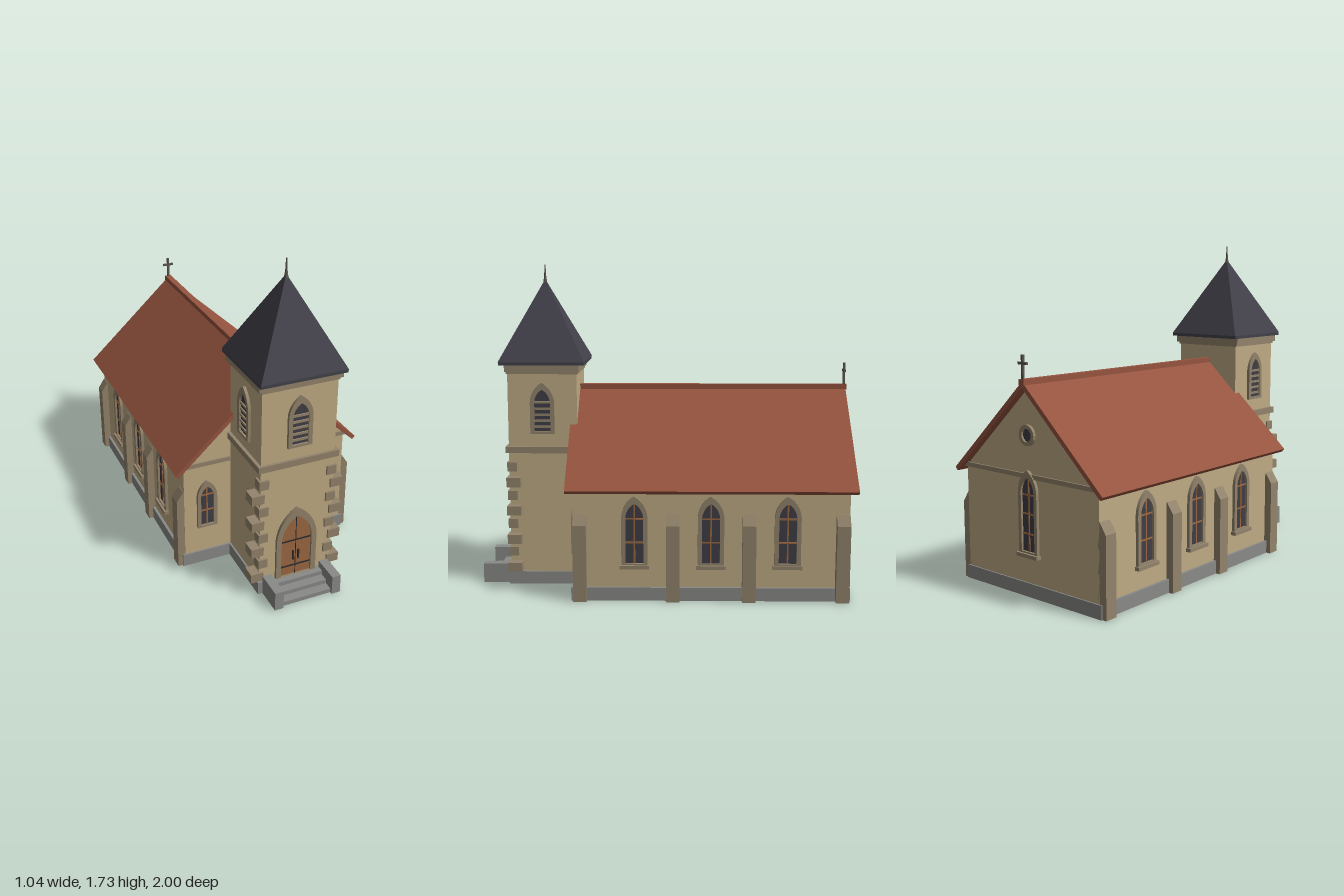
import * as THREE from 'three';

const mat = (name, color, extra = {}) => Object.assign(new THREE.MeshStandardMaterial({ color, ...extra }), { name });
const M = {
  wall: mat('wall plaster', 0xc0ac84),
  stone: mat('trim stone', 0x93846c),
  plinth: mat('grey stone', 0x8a8b88),
  roof: mat('roof tile', 0x96543f),
  slate: mat('spire slate', 0x42414a, { flatShading: true }),
  glass: mat('dark glass', 0x3f3e46),
  wood: mat('wood', 0x9c6840),
  iron: mat('iron', 0x2e2d30),
  metal: mat('cross metal', 0x5c564e),
};

function add(parent, name, geometry, material, x = 0, y = 0, z = 0) {
  const m = new THREE.Mesh(geometry, material);
  m.name = name;
  m.position.set(x, y, z);
  parent.add(m);
  return m;
}

// Box given by its x, y and z ranges
const box = (parent, name, material, [x0, x1], [y0, y1], [z0, z1]) =>
  add(parent, name, new THREE.BoxGeometry(x1 - x0, y1 - y0, z1 - z0), material,
    (x0 + x1) / 2, (y0 + y1) / 2, (z0 + z1) / 2);

const extrude = (shape, depth) =>
  new THREE.ExtrudeGeometry(shape, { depth, bevelEnabled: false, curveSegments: 8 });

const poly = (pts) => new THREE.Shape(pts.map(([x, y]) => new THREE.Vector2(x, y)));

// Pointed arch outline: straight jambs up to the spring, then two arcs
function arch(h, y0, spring) {
  const s = new THREE.Shape();
  s.moveTo(-h, y0);
  s.lineTo(h, y0);
  s.lineTo(h, spring);
  s.absarc(-h, spring, 2 * h, 0, Math.PI / 3, false);
  s.absarc(h, spring, 2 * h, Math.PI * 2 / 3, Math.PI, false);
  s.closePath();
  return s;
}

// Stone surround and flat infill, facing +z with the wall at z = 0
function archedOpening(name, h, inner, y0, y1, spring, fill, lift = 0.02) {
  const g = new THREE.Group();
  g.name = name;
  const rim = arch(h, y0, spring);
  rim.holes.push(arch(inner, y1, spring));
  add(g, 'surround', extrude(rim, 0.02), M.stone, 0, 0, -0.004);
  add(g, 'infill', extrude(arch(inner, y1, spring), 0.006), fill, 0, 0, -0.002);
  if (lift > 0.02) box(g, 'sill', M.stone, [-h - 0.008, h + 0.008], [y0 - 0.015, y0 + 0.004], [-0.004, lift]);
  return g;
}

function glazedWindow(h, inner, y0, spring, bars, sill) {
  const g = archedOpening('window', h, inner, y0, y0 + 0.012, spring, M.glass, sill ? 0.028 : 0.02);
  box(g, 'mullion', M.wood, [-0.004, 0.004], [y0 + 0.012, spring + inner * 1.65], [0.003, 0.008]);
  for (const y of bars) box(g, 'glazing bar', M.wood, [-inner, inner], [y - 0.004, y + 0.004], [0.003, 0.008]);
  return g;
}

function louvredWindow() {
  const g = archedOpening('belfry window', 0.065, 0.043, 0.835, 0.848, 0.998, M.glass);
  for (let i = 0; i < 5; i++) {
    const y = 0.872 + i * 0.033;
    box(g, 'louvre', M.stone, [-0.043, 0.043], [y - 0.006, y + 0.006], [0.002, 0.011]);
  }
  return g;
}

function place(parent, obj, x, z, turn = 0) {
  obj.position.set(x, 0, z);
  obj.rotation.y = turn;
  parent.add(obj);
}

function makeNave() {
  const g = new THREE.Group();
  g.name = 'nave';
  const walls = poly([[-0.465, 0.01], [0.465, 0.01], [0.465, 0.605], [0, 1.035], [-0.465, 0.605]]);
  add(g, 'walls', extrude(walls, 1.43), M.wall, 0, 0, -0.955);
  box(g, 'plinth', M.plinth, [-0.48, 0.48], [0, 0.07], [-0.962, 0.485]);
  box(g, 'front gable band', M.stone, [-0.475, 0.475], [0.597, 0.62], [0.46, 0.484]);
  box(g, 'back gable band', M.stone, [-0.475, 0.475], [0.597, 0.62], [-0.964, -0.94]);

  // Roof
  const chevron = poly([[0, 1.072], [-0.52, 0.59], [-0.505, 0.573], [0, 1.04], [0.505, 0.573], [0.52, 0.59]]);
  add(g, 'roof', extrude(chevron, 1.5), M.roof, 0, 0, -0.99);
  box(g, 'ridge cap', M.roof, [-0.018, 0.018], [1.055, 1.083], [-0.995, 0.48]);

  // Gable cross
  box(g, 'cross post', M.metal, [-0.006, 0.006], [1.075, 1.2], [-0.988, -0.976]);
  box(g, 'cross arm', M.metal, [-0.031, 0.031], [1.153, 1.165], [-0.988, -0.976]);

  // Buttresses and side windows
  const buttress = poly([[0.455, 0], [0.505, 0], [0.505, 0.405], [0.468, 0.46], [0.455, 0.46]]);
  for (const s of [1, -1]) {
    for (const z of [0.438, -0.043, -0.437, -0.92]) {
      const geo = extrude(buttress, 0.07);
      geo.translate(0, 0, -0.035);
      add(g, 'buttress', geo, M.stone, 0, 0, z).rotation.y = s > 0 ? 0 : Math.PI;
    }
    for (const z of [0.155, -0.24, -0.636]) {
      place(g, glazedWindow(0.068, 0.046, 0.187, 0.437, [0.31, 0.435], true), s * 0.465, z, s * Math.PI / 2);
    }
    place(g, glazedWindow(0.055, 0.036, 0.225, 0.41, [0.325, 0.42], false), s * 0.34, 0.475);
  }

  // Back window and rose window
  place(g, glazedWindow(0.065, 0.045, 0.22, 0.525, [0.32, 0.42, 0.515], true), 0, -0.955, Math.PI);
  const rose = new THREE.Group();
  rose.name = 'rose window';
  const ring = new THREE.Shape().absarc(0, 0, 0.052, 0, Math.PI * 2, false);
  ring.holes.push(new THREE.Path().absarc(0, 0, 0.033, 0, Math.PI * 2, true));
  add(rose, 'ring', extrude(ring, 0.018), M.stone, 0, 0.81, -0.003);
  add(rose, 'pane', new THREE.CircleGeometry(0.035, 24), M.glass, 0, 0.81, 0.004);
  place(g, rose, 0, -0.955, Math.PI);
  return g;
}

function makeTower() {
  const g = new THREE.Group();
  g.name = 'tower';
  const zc = 0.657;
  const tier = (name, m, hx, hz, y0, y1) => box(g, name, m, [-hx, hx], [y0, y1], [zc - hz, zc + hz]);
  tier('shaft', M.wall, 0.202, 0.185, 0.01, 1.17);
  tier('plinth', M.plinth, 0.212, 0.195, 0, 0.07);
  tier('string course', M.stone, 0.22, 0.2, 0.73, 0.765);
  tier('lower cornice', M.stone, 0.208, 0.191, 1.155, 1.17);
  tier('cornice', M.stone, 0.222, 0.198, 1.167, 1.205);
  tier('spire eave', M.slate, 0.229, 0.227, 1.203, 1.22);

  // Spire and finial
  const spire = new THREE.ConeGeometry(0.229 * Math.SQRT2, 0.435, 4);
  spire.rotateY(Math.PI / 4);
  add(g, 'spire', spire, M.slate, 0, 1.4375, zc);
  add(g, 'finial base', new THREE.CylinderGeometry(0.006, 0.012, 0.04, 10), M.metal, 0, 1.65, zc);
  add(g, 'finial', new THREE.CylinderGeometry(0.003, 0.006, 0.07, 10), M.metal, 0, 1.697, zc);

  // Belfry openings
  place(g, louvredWindow(), 0, zc + 0.185);
  for (const s of [1, -1]) place(g, louvredWindow(), s * 0.202, zc, s * Math.PI / 2);

  // Quoins on the front corners, alternating long and short
  for (const s of [1, -1]) {
    for (let i = 0; i < 8; i++) {
      const long = i % 2 === 0;
      const y = 0.105 + i * 0.0783;
      const w = long ? 0.068 : 0.052;
      const d = long ? 0.075 : 0.052;
      add(g, 'quoin', new THREE.BoxGeometry(w, 0.05, d), M.stone, s * (long ? 0.217 : 0.186), y, 0.852 - d / 2);
    }
  }

  // Portal and double door
  const door = archedOpening('portal', 0.113, 0.085, 0.07, 0.071, 0.285, M.wood);
  box(door, 'door gap', M.iron, [-0.002, 0.002], [0.071, 0.43], [0.002, 0.006]);
  for (const y of [0.125, 0.28]) box(door, 'strap hinge', M.iron, [-0.084, 0.084], [y - 0.004, y + 0.004], [0.002, 0.007]);
  for (const s of [1, -1]) add(door, 'handle', new THREE.BoxGeometry(0.008, 0.055, 0.009), M.iron, s * 0.015, 0.19, 0.008);
  place(g, door, 0, zc + 0.185);
  return g;
}

function makeSteps() {
  const g = new THREE.Group();
  g.name = 'entrance steps';
  [0.985, 0.937, 0.89].forEach((z, i) =>
    box(g, 'step', M.plinth, [-0.14, 0.14], [0, 0.023 * (i + 1)], [0.84, z]));
  for (const s of [1, -1]) {
    add(g, 'cheek wall', new THREE.BoxGeometry(0.048, 0.105, 0.15), M.plinth, s * 0.162, 0.0525, 0.925);
  }
  return g;
}

export function createModel() {
  const model = new THREE.Group();
  model.name = 'church';
  model.add(makeNave(), makeTower(), makeSteps());
  return model;
}
